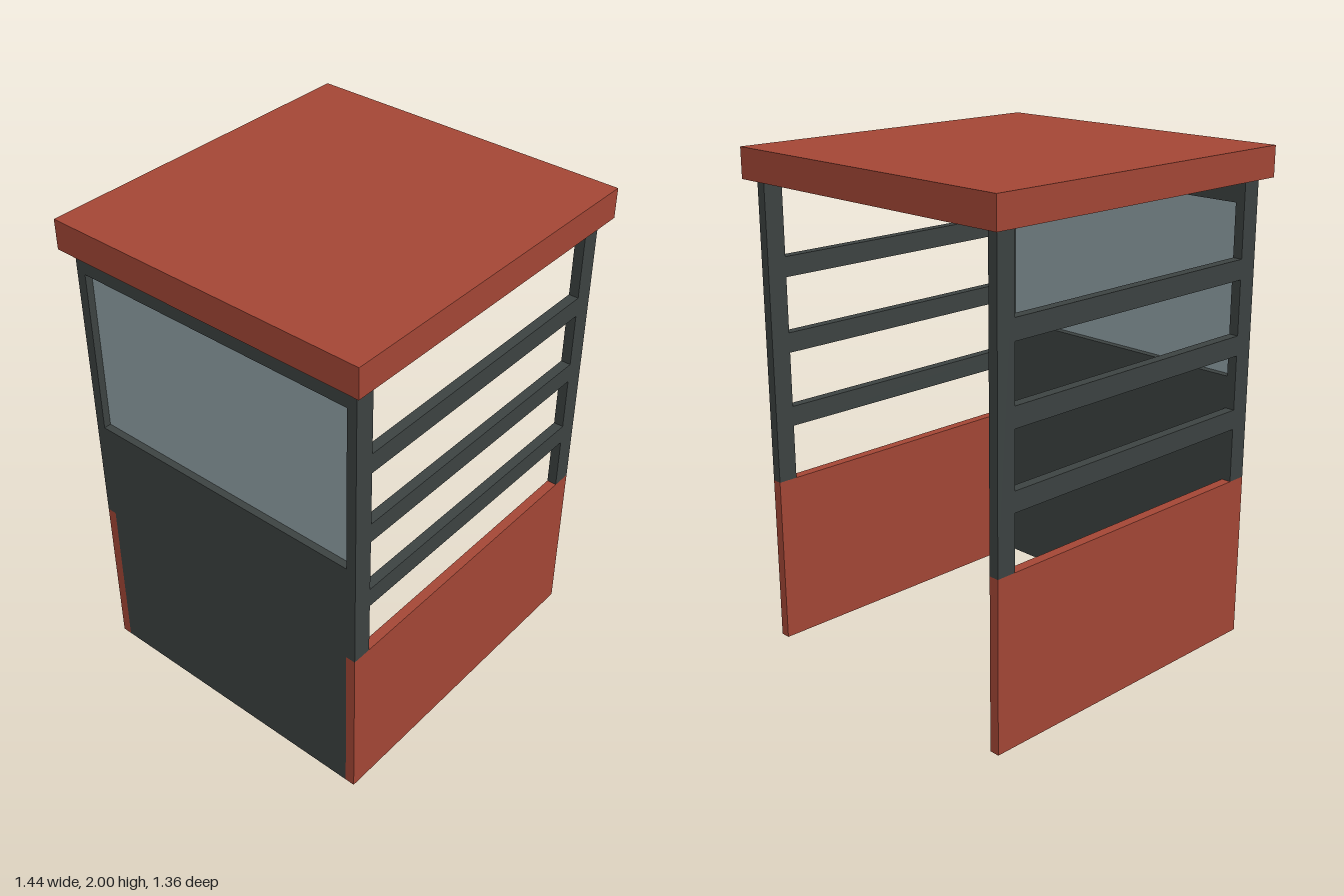
import * as THREE from 'three';

export function createModel() {
  const model = new THREE.Group();
  model.name = 'shelter';

  const red = new THREE.MeshStandardMaterial({ color: 0xa34635 });
  red.name = 'brick red';
  const dark = new THREE.MeshStandardMaterial({ color: 0x3c4241 });
  dark.name = 'charcoal';
  const glass = new THREE.MeshStandardMaterial({ color: 0x90a1a6 });
  glass.name = 'grey glass';

  // Box given by its minimum and maximum corners
  function box(name, material, [x0, y0, z0], [x1, y1, z1], parent = model) {
    const mesh = new THREE.Mesh(new THREE.BoxGeometry(x1 - x0, y1 - y0, z1 - z0), material);
    mesh.position.set((x0 + x1) / 2, (y0 + y1) / 2, (z0 + z1) / 2);
    mesh.name = name;
    parent.add(mesh);
  }

  // Flat overhanging roof
  box('roof', red, [-0.72, 1.88, -0.68], [0.72, 2, 0.68]);

  // Front and back sides: solid lower panel, corner posts and three rails
  for (const [name, z] of [['front', 0.6], ['back', -0.64]]) {
    const side = new THREE.Group();
    side.name = name + 'Side';
    model.add(side);
    box('lowerPanel', red, [-0.68, 0, z], [0.68, 0.68, z + 0.04], side);
    box('rightPost', dark, [-0.68, 0.68, z], [-0.6, 1.88, z + 0.04], side);
    box('leftPost', dark, [0.6, 0.68, z], [0.68, 1.88, z + 0.04], side);
    for (const y of [0.9, 1.2, 1.5]) {
      box('rail', dark, [-0.6, y, z], [0.6, y + 0.08, z + 0.04], side);
    }
  }

  // Closed end wall with a recessed window; the opposite end stays open
  const wall = new THREE.Group();
  wall.name = 'endWall';
  model.add(wall);
  box('wallPanel', dark, [-0.68, 0, -0.6], [-0.6, 1.11, 0.6], wall);
  box('windowHeader', dark, [-0.68, 1.79, -0.6], [-0.6, 1.88, 0.6], wall);
  box('windowPane', glass, [-0.65, 1.11, -0.6], [-0.63, 1.79, 0.6], wall);

  return model;
}
